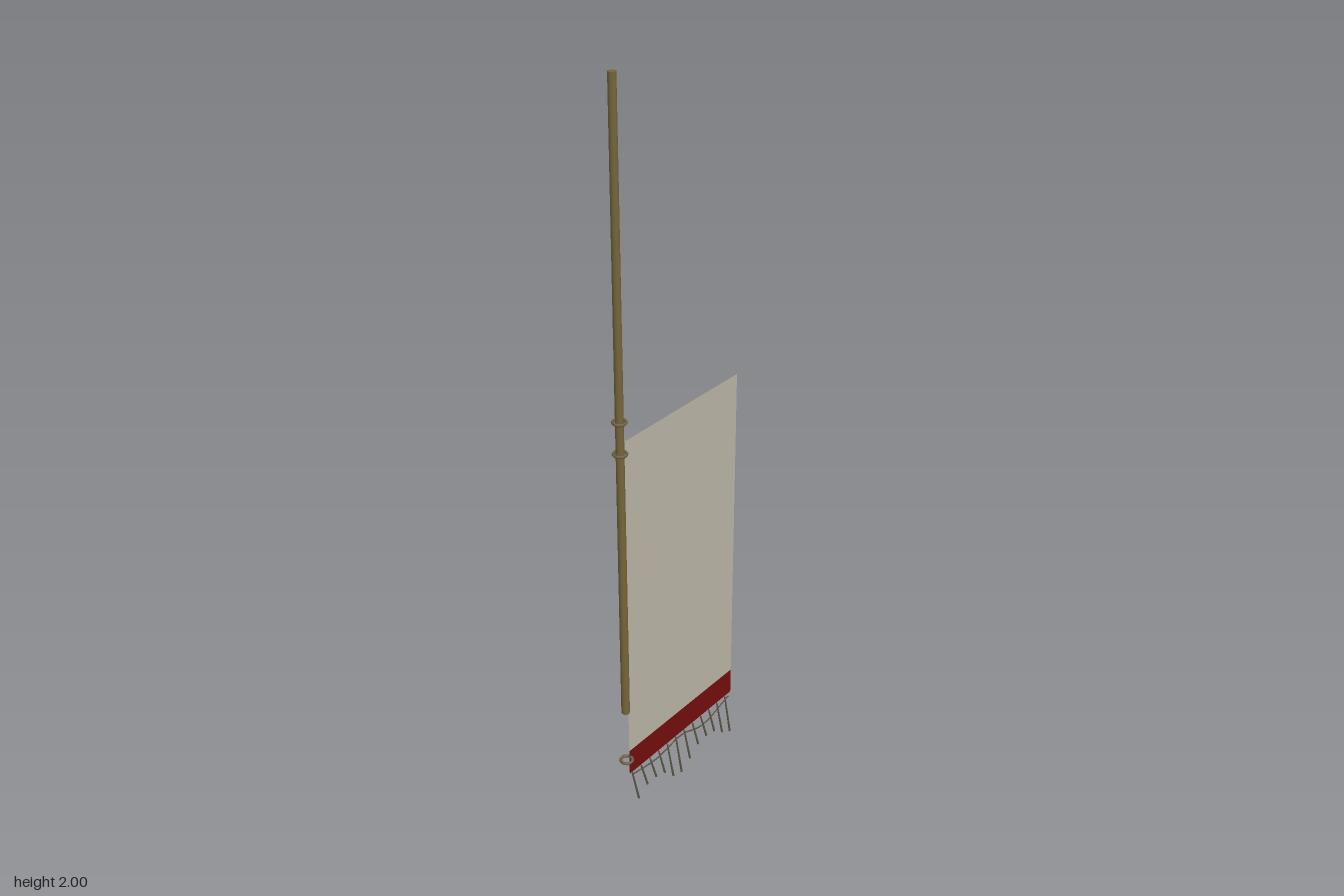
import * as THREE from 'three';

export function createModel() {
  const group = new THREE.Group();
  const material = (name, color, side = THREE.FrontSide) => {
    const m = new THREE.MeshStandardMaterial({ color, side });
    m.name = name;
    return m;
  };
  const wood = material('pole wood', 0x75653a);
  const bronze = material('ring bronze', 0x6e6044);
  const linen = material('grey linen', 0xb8b4a5, THREE.DoubleSide);
  const red = material('dark red trim', 0x720e0e, THREE.DoubleSide);
  const cord = material('fringe cord', 0x5a5646);

  const add = (name, geometry, mat, x = 0, y = 0, z = 0) => {
    const mesh = new THREE.Mesh(geometry, mat);
    mesh.name = name;
    mesh.position.set(x, y, z);
    group.add(mesh);
    return mesh;
  };

  // Pole and the three rings that hold the cloth
  const poleX = -0.215;
  add('pole', new THREE.CylinderGeometry(0.0095, 0.011, 1.66, 10), wood, poleX, 1.17, 0);
  for (const y of [1.188, 1.104, 0.181]) {
    const ring = add('ring', new THREE.TorusGeometry(0.0155, 0.004, 6, 16), bronze, poleX, y, 0);
    ring.rotation.x = Math.PI / 2;
  }

  // Cloth panel with a trim band along the lower edge
  const left = -0.204, right = 0.232;
  const panel = (name, mat, bottom, top) =>
    add(name, new THREE.PlaneGeometry(right - left, top - bottom), mat,
      (left + right) / 2, (bottom + top) / 2, 0);
  panel('clothPanel', linen, 0.202, 1.13);
  panel('trimBand', red, 0.125, 0.202);

  // Loose cord under the trim
  const path = new THREE.CatmullRomCurve3([
    [-0.2, 0.122, 0.005], [-0.1, 0.113, 0.009], [0, 0.125, 0.009],
    [0.1, 0.096, 0.007], [0.215, 0.122, 0.006],
  ].map((p) => new THREE.Vector3(...p)));
  add('hemCord', new THREE.TubeGeometry(path, 24, 0.002, 5), cord);

  // Hanging fringe threads, each leaning slightly forward and sideways
  const ends = [0.037, 0.06, 0.061, 0.05, 0.013, 0.002, 0.026, 0.052, 0.058, 0.05, 0.022, 0.002];
  const up = new THREE.Vector3(0, 1, 0);
  ends.forEach((endY, i) => {
    const x = -0.198 + i * 0.0363;
    const top = new THREE.Vector3(x, 0.127, 0.004);
    const end = new THREE.Vector3(x + 0.012, endY, 0.015);
    const dir = top.clone().sub(end);
    const thread = add('fringeThread', new THREE.CylinderGeometry(0.0022, 0.003, dir.length(), 6), cord);
    thread.position.copy(top).add(end).multiplyScalar(0.5);
    thread.quaternion.setFromUnitVectors(up, dir.normalize());
  });

  return group;
}
